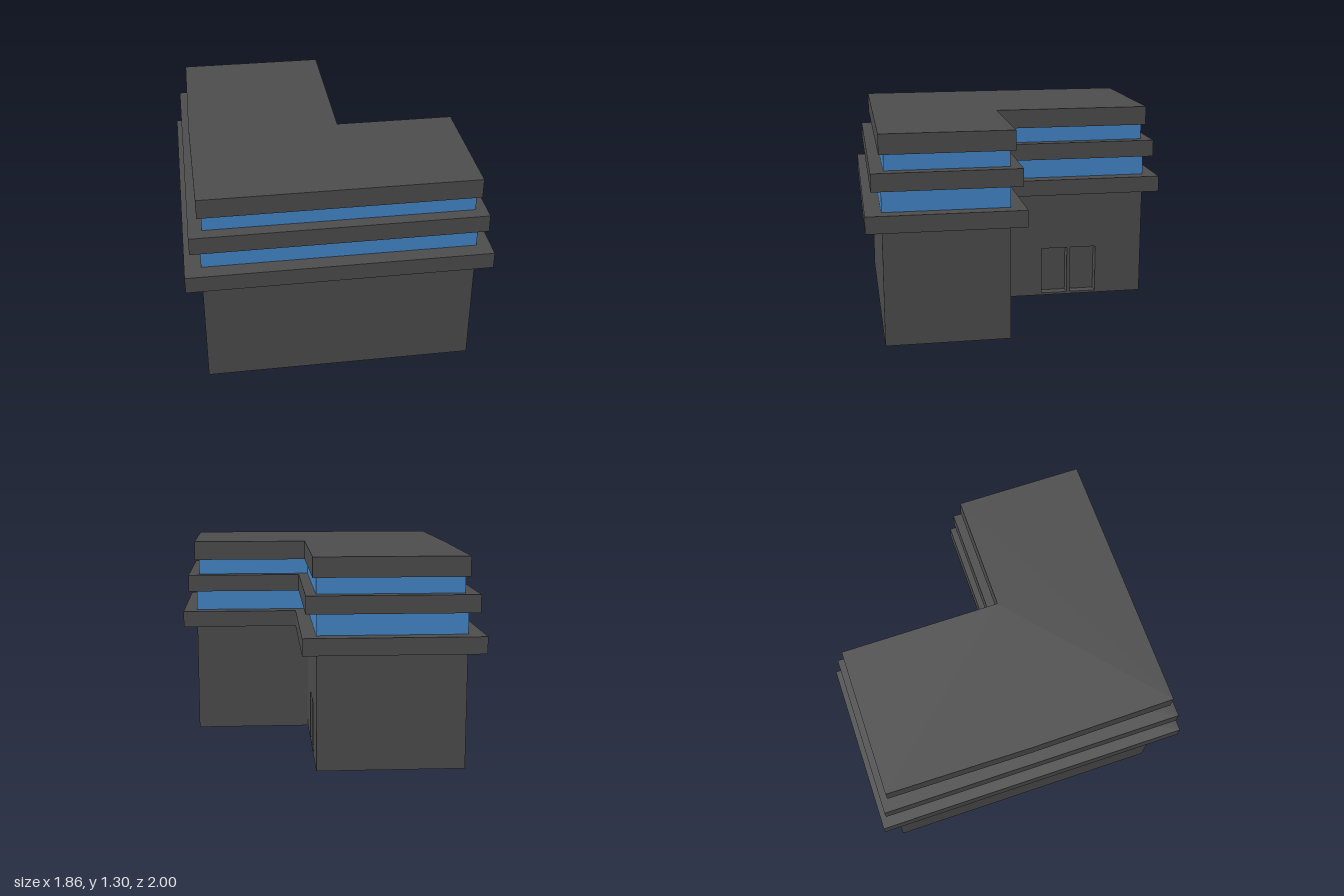
import * as THREE from 'three';

export function createModel() {
  const group = new THREE.Group();
  const material = (name, color) => Object.assign(new THREE.MeshStandardMaterial({ color }), { name });
  const concrete = material('concrete', 0x4d4d4d);
  const glass = material('glass', 0x4488cc);

  const add = (name, geometry, mat) => {
    const mesh = new THREE.Mesh(geometry, mat);
    mesh.name = name;
    group.add(mesh);
    return mesh;
  };

  // L-shaped storey: outer rectangle with the back +x corner cut away at (notchX, notchZ)
  const storey = (name, mat, y0, y1, [left, right, back, front], notchX, notchZ, bow = 0) => {
    const plan = [
      [left, front], [right, front], [right, notchZ],
      [notchX, notchZ], [notchX, back], [left, back],
    ];
    if (bow) plan.push([left - bow, 0]);
    const shape = new THREE.Shape(plan.map(([x, z]) => new THREE.Vector2(x, -z)));
    const geometry = new THREE.ExtrudeGeometry(shape, { depth: y1 - y0, bevelEnabled: false });
    geometry.rotateX(-Math.PI / 2).translate(0, y0, 0);
    add(name, geometry, mat);
  };

  // Ground-floor core, set back behind the entrance wall
  const wallX = 0.08, recess = 0.07;
  storey('groundFloor', concrete, 0, 0.73, [-0.83, 0.84, -0.91, 0.9], wallX - recess, 0.13);

  // Entrance wall facing +x, pierced by two doorways (shape x is -z)
  const rect = (Type, x0, x1, y0, y1) => new Type([
    new THREE.Vector2(x0, y0), new THREE.Vector2(x1, y0),
    new THREE.Vector2(x1, y1), new THREE.Vector2(x0, y1),
  ]);
  const entrance = rect(THREE.Shape, -0.13, 0.91, 0, 0.73);
  for (const start of [0.212, 0.413]) {
    entrance.holes.push(rect(THREE.Path, start, start + 0.177, 0.015, 0.335));
    // Door leaf at the back of the doorway
    const door = add('door', new THREE.BoxGeometry(0.006, 0.32, 0.177), concrete);
    door.position.set(wallX - recess + 0.003, 0.175, -start - 0.0885);
  }
  const entranceGeometry = new THREE.ExtrudeGeometry(entrance, { depth: recess, bevelEnabled: false });
  entranceGeometry.rotateY(Math.PI / 2).translate(wallX - recess, 0, 0);
  add('entranceWall', entranceGeometry, concrete);

  // Overhanging slabs alternating with window bands
  storey('lowerSlab', concrete, 0.73, 0.835, [-0.93, 0.927, -1, 1], 0.168, 0.04);
  storey('lowerWindowBand', glass, 0.835, 0.97, [-0.83, 0.84, -0.91, 0.9], wallX, 0.13);
  storey('middleSlab', concrete, 0.97, 1.08, [-0.892, 0.89, -0.96, 0.96], 0.145, 0.06);
  storey('upperWindowBand', glass, 1.08, 1.18, [-0.81, 0.82, -0.89, 0.88], wallX, 0.13);
  storey('roofSlab', concrete, 1.18, 1.303, [-0.836, 0.847, -0.915, 0.908], 0.102, 0.1, 0.01);

  return group;
}
